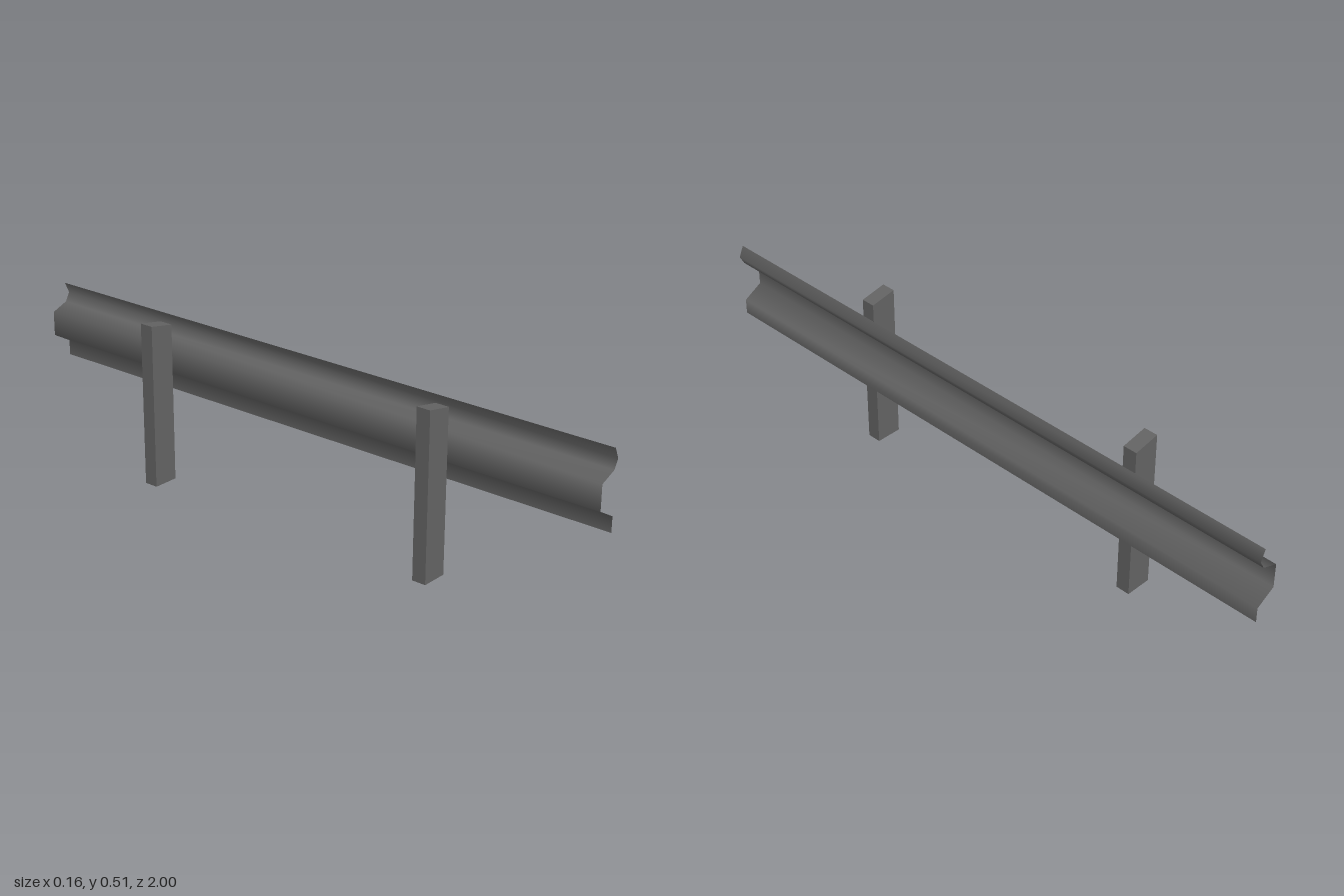
import * as THREE from 'three';

const steel = new THREE.MeshStandardMaterial({ color: 0x636363, side: THREE.DoubleSide });
steel.name = 'dark grey steel';

// Post: hollow box, open at the base, with a top sloping down towards the rail
function createPost(name, x0, x1, z) {
  const height = 0.509, depth = 0.044, drop = 0.015;
  const g = new THREE.BoxGeometry(x1 - x0, height, depth);
  g.translate((x0 + x1) / 2, height / 2, z);
  const p = g.attributes.position;
  for (let i = 0; i < p.count; i++) {
    if (p.getY(i) > 0.1 && p.getX(i) > (x0 + x1) / 2) p.setY(i, height - drop);
  }
  // drop the bottom face
  const index = Array.from(g.index.array);
  index.splice(18, 6);
  g.setIndex(index);
  g.clearGroups();
  g.computeVertexNormals();
  const post = new THREE.Mesh(g, steel);
  post.name = name;
  return post;
}

// Rail: thin folded sheet, one cross-section swept along z with smooth normals
function createRail() {
  const profile = [
    [0.065, 0.493], [0.08, 0.459], [0.065, 0.432], [0.012, 0.411],
    [0.012, 0.335], [0.072, 0.301], [0.072, 0.254],
  ];
  const positions = [], index = [];
  for (const [x, y] of profile) positions.push(x, y, 1, x, y, -1);
  for (let i = 0; i < profile.length - 1; i++) {
    const a = i * 2;
    index.push(a, a + 2, a + 1, a + 1, a + 2, a + 3);
  }
  const g = new THREE.BufferGeometry();
  g.setAttribute('position', new THREE.Float32BufferAttribute(positions, 3));
  g.setIndex(index);
  g.computeVertexNormals();
  const rail = new THREE.Mesh(g, steel);
  rail.name = 'guardRail';
  return rail;
}

export function createModel() {
  const model = new THREE.Group();
  model.name = 'roadsideBarrier';
  model.add(
    createRail(),
    createPost('frontPost', -0.071, 0.011, 0.5),
    createPost('backPost', -0.082, 0, -0.5),
  );
  return model;
}
